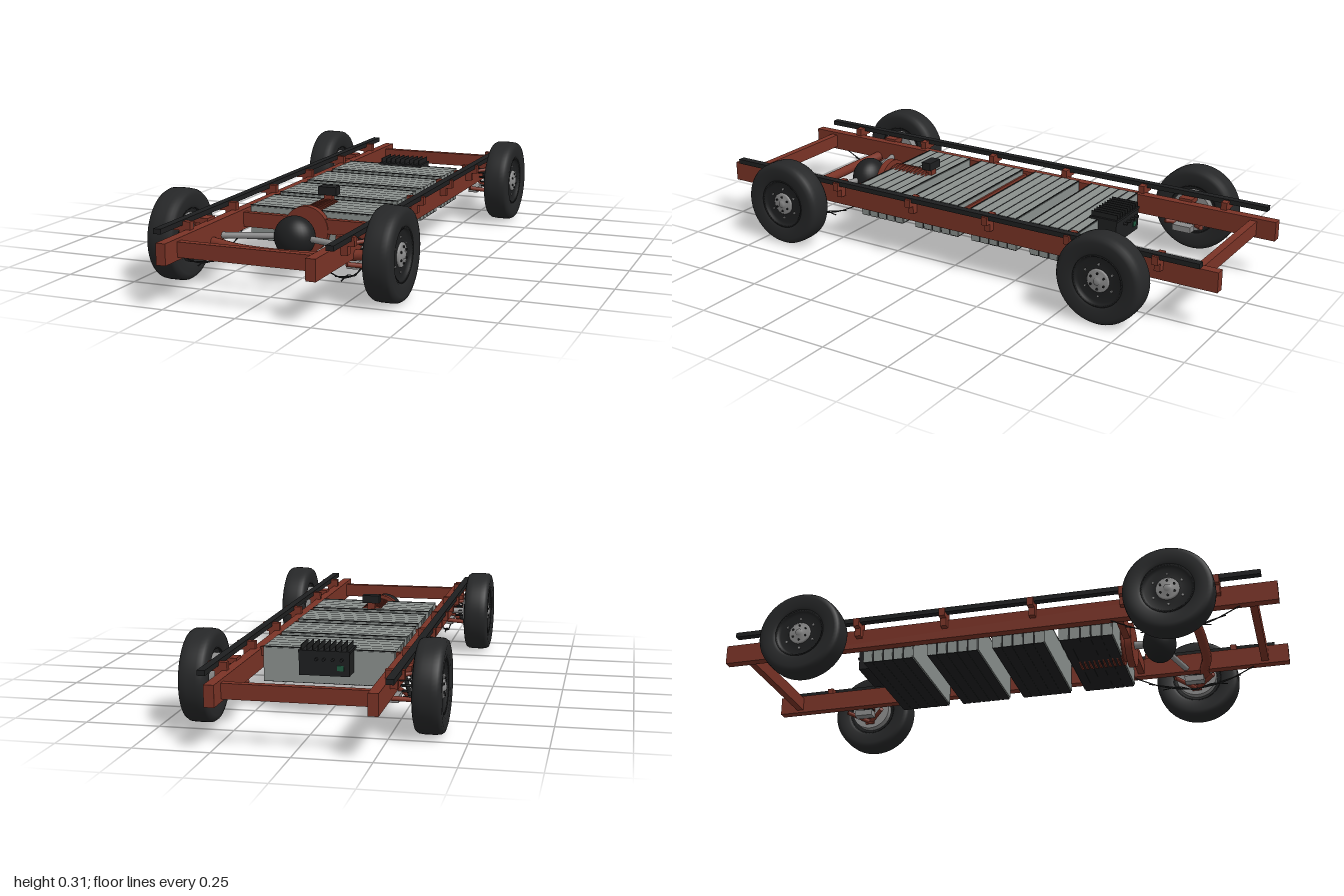
import * as THREE from 'three';

const paint = (color, side = THREE.FrontSide) => new THREE.MeshStandardMaterial({ color, side });
const RED = paint(0x7a3326), BLACK = paint(0x1e1f20), RUBBER = paint(0x262728);
const CELL = paint(0x8a908d), STEEL = paint(0x8c8c8c), GREEN = paint(0x1f5a40);
const V = (x, y, z) => new THREE.Vector3(x, y, z);

function add(parent, name, geometry, material, x = 0, y = 0, z = 0) {
  const mesh = new THREE.Mesh(geometry, material);
  mesh.name = name;
  mesh.position.set(x, y, z);
  parent.add(mesh);
  return mesh;
}
const box = (p, name, m, w, h, d, x, y, z) => add(p, name, new THREE.BoxGeometry(w, h, d), m, x, y, z);

// Cylinder between two points
function rod(p, name, m, a, b, r, sides = 16) {
  const mesh = add(p, name, new THREE.CylinderGeometry(r, r, a.distanceTo(b), sides), m);
  mesh.position.copy(a).lerp(b, 0.5);
  mesh.quaternion.setFromUnitVectors(V(0, 1, 0), b.clone().sub(a).normalize());
  return mesh;
}
// Tube along a smooth path
const tube = (p, name, m, points, r, n = 32, sides = 12) =>
  add(p, name, new THREE.TubeGeometry(new THREE.CatmullRomCurve3(points), n, r, sides), m);

// Wheel whose outer face looks along +x
function wheel(parent, side, z) {
  const g = new THREE.Group();
  g.name = 'wheel';
  const turn = (name, pts, m) => {
    const geo = new THREE.LatheGeometry(pts.map(([r, x]) => new THREE.Vector2(r, x)), 56);
    add(g, name, geo.rotateZ(-Math.PI / 2), m);
  };
  turn('tyre', [[0.088, -0.038], [0.1, -0.045], [0.133, -0.047], [0.146, -0.043], [0.152, -0.034],
    [0.154, -0.015], [0.154, 0.015], [0.152, 0.034], [0.146, 0.043], [0.133, 0.047],
    [0.1, 0.045], [0.088, 0.038]], RUBBER);
  turn('rim', [[0.0001, -0.03], [0.082, -0.03], [0.09, -0.04], [0.09, 0.04], [0.082, 0.036],
    [0.076, 0.026], [0.045, 0.03], [0.0001, 0.03]], BLACK);
  turn('hubCap', [[0.04, 0.028], [0.04, 0.034], [0.036, 0.038], [0.014, 0.038], [0.012, 0.044], [0.0001, 0.044]], STEEL);
  for (let i = 0; i < 6; i++) {
    const a = i * Math.PI / 3, c = Math.cos(a), s = Math.sin(a);
    rod(g, 'wheelNut', BLACK, V(0.034, 0.027 * c, 0.027 * s), V(0.042, 0.027 * c, 0.027 * s), 0.004, 6);
    rod(g, 'rimBolt', STEEL, V(0.026, 0.056 * c, 0.056 * s), V(0.032, 0.056 * c, 0.056 * s), 0.004, 6);
  }
  rod(g, 'brakeDrum', STEEL, V(-0.058, 0, 0), V(-0.028, 0, 0), 0.075, 40);
  g.position.set(side * 0.374, 0.154, z);
  if (side < 0) g.rotation.y = Math.PI;
  parent.add(g);
}

// Control arms, upright and coil spring at one corner
function suspension(parent, s, z) {
  const g = new THREE.Group();
  g.name = 'suspension';
  for (const dz of [-0.07, 0.07]) {
    rod(g, 'lowerArm', RED, V(s * 0.25, 0.125, z + dz), V(s * 0.322, 0.105, z), 0.008);
    rod(g, 'upperArm', RED, V(s * 0.262, 0.19, z + dz * 0.7), V(s * 0.322, 0.195, z), 0.007);
  }
  box(g, 'upright', RED, 0.016, 0.12, 0.035, s * 0.318, 0.155, z);
  box(g, 'springSeat', RED, 0.05, 0.018, 0.05, s * 0.285, 0.21, z);
  box(g, 'armMount', STEEL, 0.036, 0.022, 0.07, s * 0.253, 0.112, z);
  const top = V(s * 0.28, 0.203, z), foot = V(s * 0.303, 0.115, z);
  rod(g, 'damper', BLACK, top, foot, 0.007);
  const coil = [];
  for (let i = 0; i <= 60; i++) {
    const a = i / 60 * Math.PI * 10;
    coil.push(top.clone().lerp(foot, i / 60).add(V(0.02 * Math.cos(a), 0, 0.02 * Math.sin(a))));
  }
  tube(g, 'coilSpring', BLACK, coil, 0.0035, 150, 6);
  parent.add(g);
}

// Battery pack of five cells parted by dark separator plates
function batteryPack(parent, z0) {
  const g = new THREE.Group();
  g.name = 'batteryPack';
  box(g, 'packBody', CELL, 0.444, 0.112, 0.19, 0, 0.16, z0 + 0.095);
  for (let i = 0; i < 5; i++) {
    const z = z0 + 0.019 + i * 0.038;
    box(g, 'cell', CELL, 0.45, 0.118, 0.031, 0, 0.16, z);
    box(g, 'cellBase', BLACK, 0.45, 0.003, 0.031, 0, 0.1005, z);
    if (i < 4) box(g, 'separator', BLACK, 0.447, 0.119, 0.007, 0, 0.1595, z + 0.019);
  }
  for (const z of [z0 + 0.002, z0 + 0.188]) box(g, 'packEdge', BLACK, 0.45, 0.003, 0.004, 0, 0.2195, z);
  parent.add(g);
}

export function createModel() {
  const model = new THREE.Group();
  model.name = 'electricChassis';

  // Ladder frame
  for (const s of [-1, 1]) {
    box(model, 'frameRail', RED, 0.033, 0.07, 2, s * 0.25, 0.175, 0);
    box(model, 'bodyRail', BLACK, 0.026, 0.017, 1.9, s * 0.29, 0.233, 0);
    for (const z of [-0.8, -0.48, -0.16, 0.16, 0.48, 0.8]) {
      box(model, 'railBracket', RED, 0.062, 0.03, 0.022, s * 0.281, 0.222, z);
      box(model, 'bracketWeb', RED, 0.03, 0.045, 0.022, s * 0.275, 0.2, z);
    }
    box(model, 'packBracket', RED, 0.02, 0.03, 0.02, s * 0.228, 0.2, -0.46);
  }
  for (const [z, d] of [[-0.918, 0.026], [0, 0.014], [0.455, 0.024], [0.913, 0.026]])
    box(model, 'crossMember', RED, 0.468, 0.05, d, 0, 0.175, z);

  // Battery packs
  for (const z of [-0.48, -0.24, 0, 0.24]) batteryPack(model, z);

  // Power controller with cooling fins
  const ctrl = new THREE.Group();
  ctrl.name = 'controller';
  box(ctrl, 'controllerCase', BLACK, 0.17, 0.08, 0.07, 0, 0.184, -0.515);
  box(ctrl, 'controllerLid', BLACK, 0.174, 0.008, 0.105, 0, 0.224, -0.5);
  for (let i = 0; i < 9; i++)
    box(ctrl, 'coolingFin', BLACK, 0.003, 0.02, 0.1, -0.077 + i * 0.01925, 0.236, -0.5);
  for (const x of [-0.06, -0.03, 0, 0.025])
    rod(ctrl, 'terminal', BLACK, V(x, 0.2, -0.55), V(x, 0.2, -0.563), 0.005, 10);
  box(ctrl, 'socket', GREEN, 0.022, 0.018, 0.004, -0.055, 0.172, -0.551);
  model.add(ctrl);

  // Finned motor and its terminal box
  const motor = new THREE.Group();
  motor.name = 'motor';
  rod(motor, 'motorBody', RED, V(0, 0.16, 0.255), V(0, 0.16, 0.46), 0.058, 40);
  for (let i = 0; i < 10; i++) {
    const z = 0.272 + i * 0.017;
    rod(motor, 'motorFin', RED, V(0, 0.16, z), V(0, 0.16, z + 0.006), 0.07, 40);
  }
  rod(motor, 'motorFlange', RED, V(0, 0.16, 0.445), V(0, 0.16, 0.47), 0.08, 40);
  box(motor, 'terminalBox', BLACK, 0.066, 0.029, 0.038, 0, 0.257, 0.27);
  box(motor, 'boxStand', RED, 0.03, 0.04, 0.024, 0, 0.226, 0.27);
  model.add(motor);

  // Differential and drive shafts
  add(model, 'differential', new THREE.SphereGeometry(0.071, 32, 20), BLACK, 0, 0.155, 0.56).scale.z = 0.84;
  rod(model, 'propShaft', STEEL, V(0, 0.158, 0.46), V(0, 0.155, 0.54), 0.014);
  for (const s of [-1, 1])
    rod(model, 'halfShaft', STEEL, V(s * 0.05, 0.155, 0.567), V(s * 0.33, 0.154, 0.65), 0.011);

  // Curved front beam
  tube(model, 'frontBeam', RED, [V(-0.325, 0.154, 0.685), V(-0.24, 0.146, 0.69), V(-0.13, 0.137, 0.711),
    V(0, 0.134, 0.715), V(0.13, 0.137, 0.711), V(0.24, 0.146, 0.69), V(0.325, 0.154, 0.685)], 0.018, 48);

  // Wheels, suspension and sagging spring leaves
  for (const s of [-1, 1]) {
    for (const z of [-0.65, 0.65]) {
      wheel(model, s, z);
      suspension(model, s, z);
    }
    for (let i = 0; i < 3; i++) {
      const l = 0.22 - i * 0.05, y = 0.075 + i * -0.002;
      tube(model, 'springLeaf', BLACK, [V(s * 0.25, y + 0.065 - i * 0.027, 0.65 - l), V(s * 0.25, y + 0.017, 0.65 - l / 2),
        V(s * 0.25, y, 0.65), V(s * 0.25, y + 0.017, 0.65 + l / 2), V(s * 0.25, y + 0.065 - i * 0.027, 0.65 + l)], 0.002, 24, 6);
    }
  }
  return model;
}
